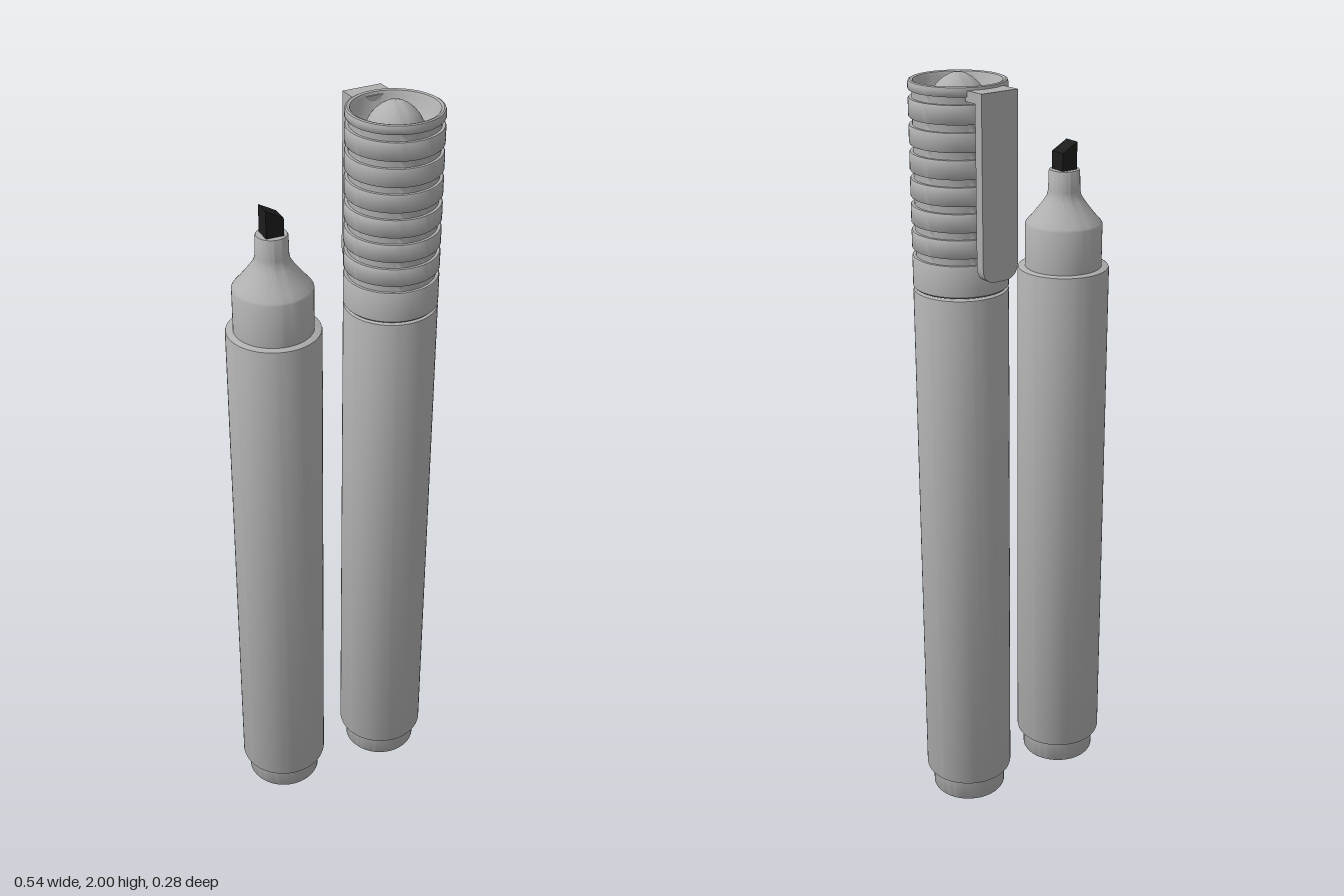
import * as THREE from 'three';
import { toCreasedNormals } from 'three/addons/utils/BufferGeometryUtils.js';

const plastic = new THREE.MeshStandardMaterial({ color: 0xb0b0b0 });
plastic.name = 'grey plastic';
const felt = new THREE.MeshStandardMaterial({ color: 0x1c1c1c });
felt.name = 'black felt';

function mesh(name, geometry, material) {
  const m = new THREE.Mesh(geometry, material);
  m.name = name;
  return m;
}

// Revolved part from [radius, height] points, listed from the bottom axis outward and up
function turned(name, points) {
  const profile = points.map(([r, y]) => new THREE.Vector2(r, y));
  return mesh(name, toCreasedNormals(new THREE.LatheGeometry(profile, 64), 0.6), plastic);
}

// Barrel with bevelled ends and a domed end plug
function makeBarrel() {
  const g = new THREE.Group();
  g.name = 'barrel';
  g.add(turned('endPlug', [
    [0.001, 0], [0.015, 0.001], [0.03, 0.006], [0.045, 0.016], [0.056, 0.027], [0.062, 0.037],
    [0.096, 0.037], [0.098, 0.04], [0.098, 0.11],
  ]));
  g.add(turned('barrelTube', [
    [0.09, 0.1], [0.111, 0.1], [0.1145, 0.102], [0.116, 0.107],
    [0.116, 1.482], [0.1145, 1.487], [0.111, 1.489], [0.001, 1.489],
  ]));
  return g;
}

// Collar, tapered nozzle and slanted chisel tip
function makeWritingEnd() {
  const g = new THREE.Group();
  g.name = 'writingEnd';
  g.add(turned('nozzle', [
    [0.097, 1.485], [0.097, 1.598], [0.094, 1.603], [0.082, 1.616], [0.062, 1.641],
    [0.05, 1.657], [0.043, 1.669], [0.04, 1.682], [0.039, 1.73], [0.037, 1.734], [0.001, 1.734],
  ]));
  const side = new THREE.Shape([
    [-0.022, 1.72], [0.022, 1.72], [0.022, 1.778], [-0.022, 1.802],
  ].map(([x, y]) => new THREE.Vector2(x, y)));
  const tip = new THREE.ExtrudeGeometry(side, { depth: 0.044, bevelEnabled: false });
  g.add(mesh('chiselTip', tip.translate(0, 0, -0.022), felt));
  return g;
}

// Grooved cap with a hollow top, central dome and pocket clip
function makeCap() {
  const g = new THREE.Group();
  g.name = 'cap';
  const R = 0.116, G = 0.107, half = 0.009;
  const points = [[0.001, 1.493], [0.112, 1.493], [R, 1.497]];
  for (let i = 0; i < 7; i++) {
    const y = 1.581 + i * 0.0622;
    points.push([R, y - half - 0.003], [R - 0.002, y - half], [G, y - half],
      [G, y + half], [R - 0.002, y + half], [R, y + half + 0.003]);
  }
  points.push(
    [R, 1.978], [0.114, 1.984], [0.11, 1.986], [0.104, 1.984], [0.1, 1.977],
    [0.095, 1.955], [0.08, 1.935], [0.066, 1.935],
    [0.065, 1.95], [0.058, 1.964], [0.047, 1.977], [0.034, 1.988], [0.02, 1.996], [0.011, 1.999], [0.001, 2],
  );
  g.add(turned('capShell', points));

  // Clip plate with rounded lower corners, held by an arm at the top
  const clip = new THREE.Group();
  clip.name = 'clip';
  const w = 0.051, r = 0.04, bottom = 1.54, top = 1.978;
  const s = new THREE.Shape();
  s.moveTo(-w, top);
  s.lineTo(-w, bottom + r);
  s.quadraticCurveTo(-w, bottom, -w + r, bottom);
  s.lineTo(w - r, bottom);
  s.quadraticCurveTo(w, bottom, w, bottom + r);
  s.lineTo(w, top);
  const plate = new THREE.ExtrudeGeometry(s, { depth: 0.024, bevelEnabled: false, curveSegments: 10 });
  clip.add(mesh('clipPlate', plate.translate(0, 0, -0.157), plastic));
  const arm = new THREE.BoxGeometry(2 * w, 0.025, 0.04);
  clip.add(mesh('clipArm', arm.translate(0, top - 0.0125, -0.117), plastic));
  clip.rotation.y = 0.055;
  g.add(clip);
  return g;
}

export function createModel() {
  const model = new THREE.Group();
  model.name = 'markerPair';

  const openMarker = new THREE.Group();
  openMarker.name = 'openMarker';
  openMarker.add(makeBarrel(), makeWritingEnd());
  openMarker.position.set(-0.155, 0, 0.02);

  const cappedMarker = new THREE.Group();
  cappedMarker.name = 'cappedMarker';
  cappedMarker.add(makeBarrel(), makeCap());
  cappedMarker.position.set(0.154, 0, 0.02);

  model.add(openMarker, cappedMarker);
  return model;
}
